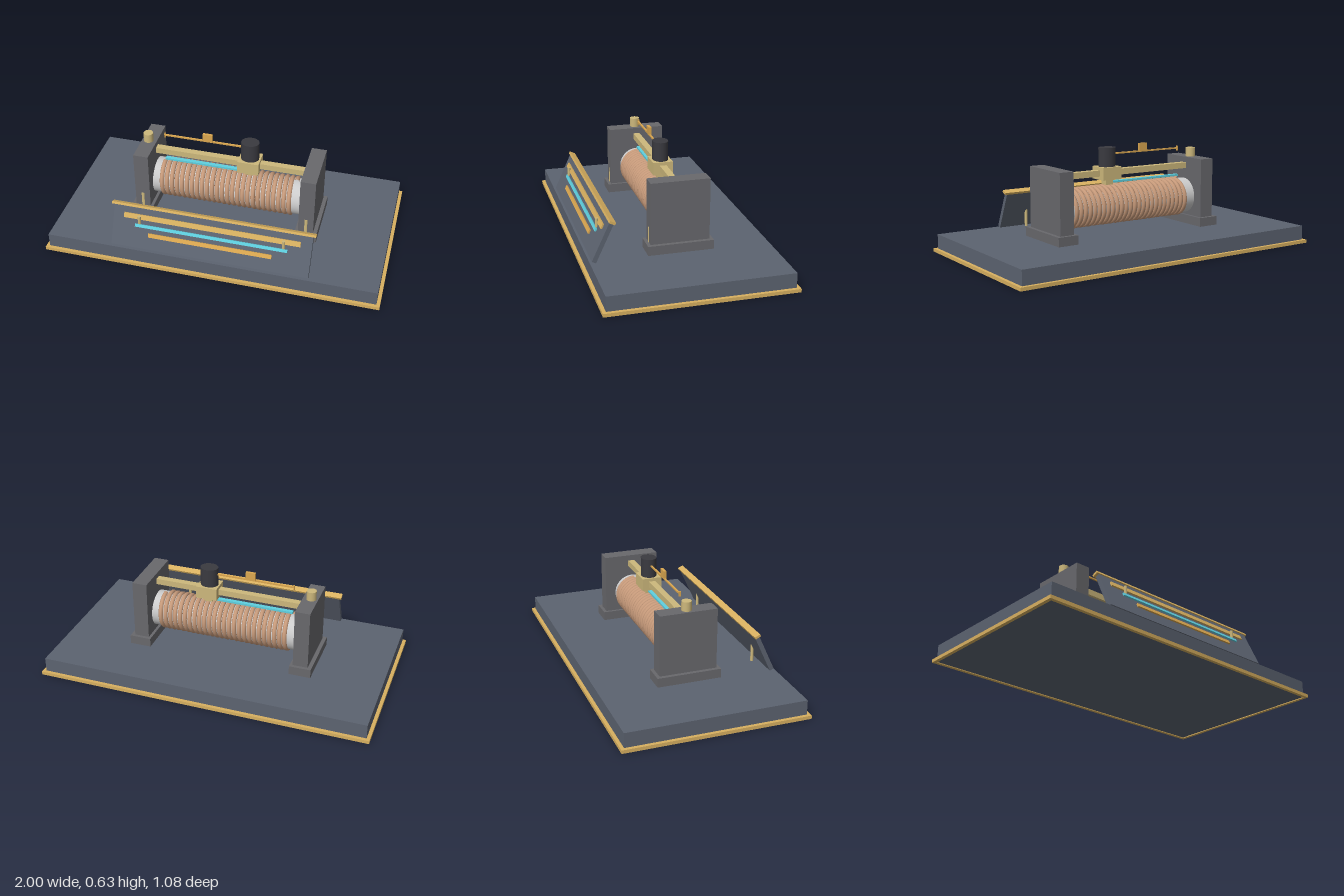
import * as THREE from 'three';

const mat = (color) => new THREE.MeshStandardMaterial({ color });
const slate = mat(0x5c6370), grey = mat(0x68686c), dark = mat(0x3a3a40), gold = mat(0xd8b060);
const brass = mat(0xcdb87c), copper = mat(0xc89b7b), ceramic = mat(0xcccccc);
const cyan = mat(0x5fd0e0), amber = mat(0xdca850);

function add(parent, name, geometry, material, x = 0, y = 0, z = 0) {
  const mesh = new THREE.Mesh(geometry, material);
  mesh.name = name;
  mesh.position.set(x, y, z);
  parent.add(mesh);
  return mesh;
}
const box = (w, h, d) => new THREE.BoxGeometry(w, h, d);
const rod = (r, h, n = 20) => new THREE.CylinderGeometry(r, r, h, n);

// Wire wound around the x axis
class Winding extends THREE.Curve {
  constructor(radius, length, turns) {
    super();
    Object.assign(this, { radius, length, turns });
  }
  getPoint(t, target = new THREE.Vector3()) {
    const a = t * this.turns * Math.PI * 2;
    return target.set((t - 0.5) * this.length, Math.cos(a) * this.radius, Math.sin(a) * this.radius);
  }
}

export function createModel() {
  const model = new THREE.Group();
  model.name = 'slidingRheostat';

  // Base slab with a gold rim around its foot
  add(model, 'base', box(1.96, 0.101, 1.04), slate, 0, 0.0555, 0);
  for (const s of [-1, 1]) {
    add(model, 'baseRimLong', box(2, 0.02, 0.02), gold, 0, 0.01, s * 0.53);
    add(model, 'baseRimShort', box(0.02, 0.02, 1.04), gold, s * 0.99, 0.01, 0);
  }

  // End supports with feet and binding posts
  for (const s of [-1, 1]) {
    const support = new THREE.Group();
    support.name = 'endSupport';
    support.position.x = s * 0.5;
    add(support, 'supportFoot', box(0.13, 0.055, 0.38), grey, s * 0.003, 0.1325, 0);
    add(support, 'supportPillar', box(0.09, 0.36, 0.34), grey, 0, 0.34, 0);
    add(support, 'bindingPost', rod(0.014, 0.09), brass, 0, 0.205, 0.159);
    model.add(support);
  }
  add(model, 'topTerminal', rod(0.029, 0.055), brass, -0.505, 0.5475, 0);

  // Ceramic core and copper winding
  const coil = new THREE.Group();
  coil.name = 'coil';
  coil.position.y = 0.28;
  add(coil, 'core', rod(0.108, 0.92, 40), ceramic).rotation.z = Math.PI / 2;
  const winding = new Winding(0.106, 0.81, 26);
  add(coil, 'winding', new THREE.TubeGeometry(winding, 26 * 32, 0.0145, 8), copper);
  model.add(coil);
  add(model, 'activeStrip', box(0.5, 0.012, 0.024), cyan, -0.15, 0.41, 0);

  // Guide rail and sliding contact
  add(model, 'guideRail', box(0.92, 0.036, 0.04), brass, 0, 0.468, 0);
  const slider = new THREE.Group();
  slider.name = 'slider';
  slider.position.x = 0.12;
  add(slider, 'sliderBlock', box(0.128, 0.075, 0.118), brass, 0, 0.4675, 0);
  add(slider, 'contactShoe', box(0.05, 0.035, 0.05), brass, 0, 0.415, 0);
  add(slider, 'knob', rod(0.046, 0.113, 28), dark, 0, 0.5615, 0).scale.x = 1.17;
  model.add(slider);

  // Pointer arm with end stop and tab
  add(model, 'pointerArm', box(0.48, 0.009, 0.01), amber, -0.16, 0.578, 0);
  add(model, 'pointerTip', box(0.007, 0.03, 0.012), amber, -0.4, 0.576, 0);
  add(model, 'pointerTab', box(0.058, 0.05, 0.016), amber, -0.137, 0.602, 0);

  // Tilted scale panel with cap and raised bars
  const panel = new THREE.Group();
  panel.name = 'scalePanel';
  panel.position.set(0, 0.2215, 0.4475);
  panel.rotation.x = -0.435;
  add(panel, 'panelBoard', box(1.17, 0.243, 0.026), slate);
  add(panel, 'panelCap', box(1.2, 0.014, 0.036), gold, 0, 0.1275, 0.001);
  for (const [name, w, h, y, m] of [['upperBar', 1.04, 0.03, 0.067, gold],
    ['middleBar', 0.9, 0.018, 0.015, cyan], ['lowerBar', 0.73, 0.024, -0.034, amber]]) {
    add(panel, name, box(w, h, 0.012), m, 0, y, 0.016);
  }
  model.add(panel);

  // Upright posts holding the panel
  for (const s of [-1, 1]) add(model, 'panelPost', rod(0.009, 0.198, 16), brass, s * 0.425, 0.204, 0.447);

  return model;
}
